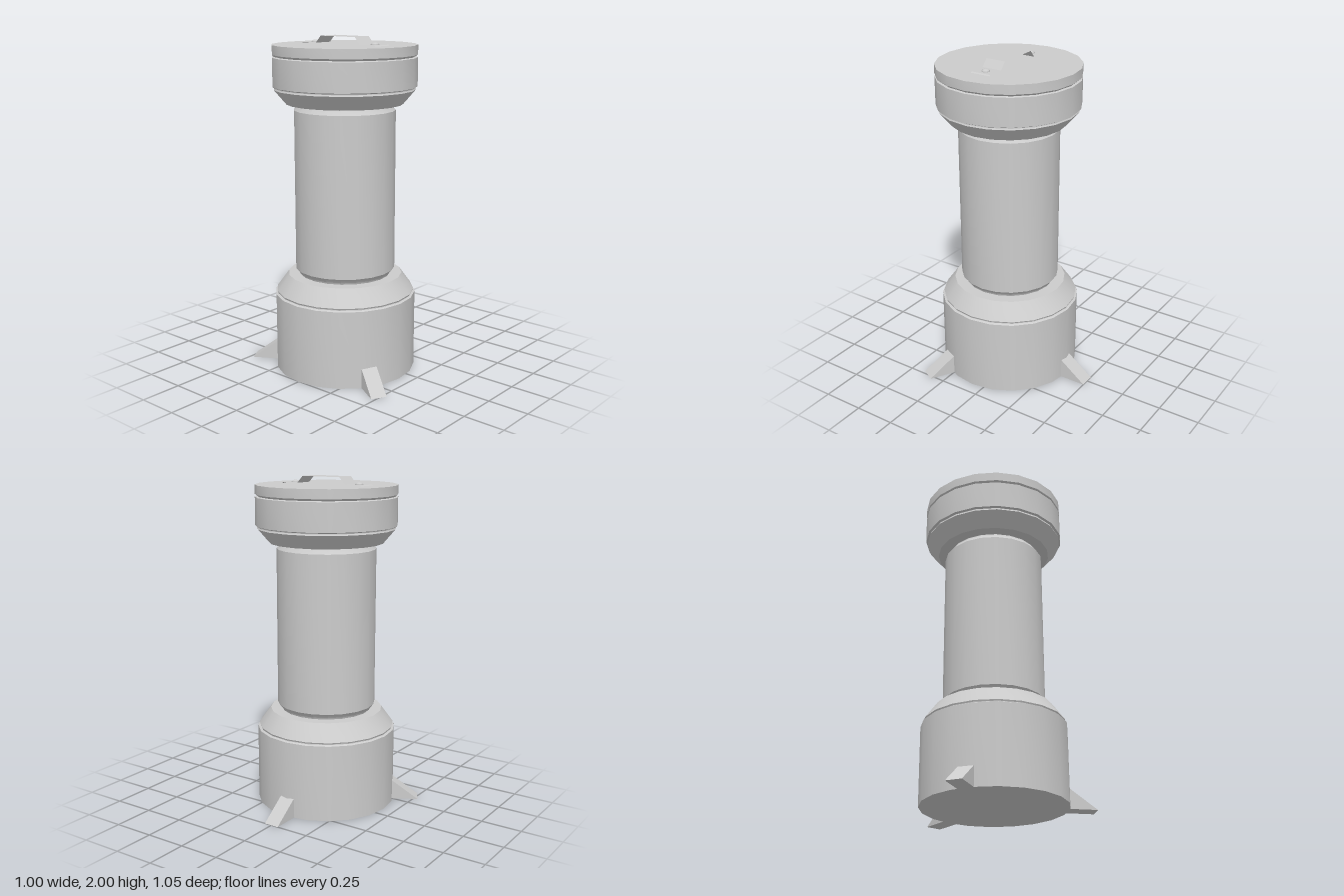
import * as THREE from 'three';
import { toCreasedNormals } from 'three/addons/utils/BufferGeometryUtils.js';

const AXIS_X = -0.08; // the round body sits off centre, balancing the three feet
const SIDES = 20;

export function createModel() {
  const model = new THREE.Group();
  const body = new THREE.Group();
  body.name = 'canister';
  body.position.x = AXIS_X;
  model.add(body);

  const grey = new THREE.MeshStandardMaterial({ color: 0xcccccc });
  const sheet = new THREE.MeshStandardMaterial({ color: 0xcccccc, side: THREE.DoubleSide });

  const add = (name, geometry, material = grey) => {
    const mesh = new THREE.Mesh(geometry, material);
    mesh.name = name;
    body.add(mesh);
    return mesh;
  };
  // Turned part from [radius, height] pairs, bottom to top
  const turned = (name, profile) => add(name, toCreasedNormals(
    new THREE.LatheGeometry(profile.map(([r, y]) => new THREE.Vector2(r, y)), SIDES), 0.45));

  // Base drum with a groove and sloping shoulder
  turned('base', [[0, 0], [0.425, 0], [0.425, 0.468], [0.412, 0.474], [0.412, 0.478],
    [0.416, 0.486], [0.344, 0.585], [0, 0.585]]);

  // Central tube with chamfered ends
  turned('column', [[0.272, 0.58], [0.277, 0.595], [0.3, 0.622], [0.3, 1.576],
    [0.277, 1.603], [0.272, 1.618]]);

  // Head: sloping underside, groove, and band
  turned('head', [[0, 1.612], [0.344, 1.612], [0.416, 1.696], [0.412, 1.704], [0.412, 1.708],
    [0.425, 1.714], [0.425, 1.882], [0.412, 1.887], [0, 1.887]]);

  // Lid disc
  turned('lid', [[0, 1.886], [0.412, 1.886], [0.425, 1.898], [0.425, 1.953], [0, 1.953]]);

  // Bent strap handle: sheet cross-section [z, y] swept across x
  const strap = [[-0.28, 1.953], [-0.272, 1.958], [-0.168, 1.958], [-0.13, 2],
    [0.13, 2], [0.168, 1.958], [0.272, 1.958], [0.28, 1.953]];
  const strapGeometry = new THREE.PlaneGeometry(0.125, 1, 1, strap.length - 1);
  const pos = strapGeometry.attributes.position;
  for (let i = 0; i < pos.count; i++) {
    const [z, y] = strap[Math.floor(i / 2)];
    pos.setXYZ(i, pos.getX(i), y, z);
  }
  add('handle', toCreasedNormals(strapGeometry, 0.3), sheet);

  // Domed rivets at both ends of the handle
  for (const z of [-0.226, 0.226]) {
    const rivet = add('rivet', new THREE.SphereGeometry(0.025, 8, 3, 0, Math.PI * 2, 0, Math.PI / 2));
    rivet.scale.y = 0.55;
    rivet.position.set(0, 1.958, z);
  }

  // Three wedge feet, starting just inside the drum
  const wedge = new THREE.Shape([[0.4, 0], [0.58, 0], [0.425, 0.115], [0.4, 0.1335]]
    .map(([x, y]) => new THREE.Vector2(x, y)));
  const footGeometry = new THREE.ExtrudeGeometry(wedge, { depth: 0.094, bevelEnabled: false });
  footGeometry.translate(0, 0, -0.047);
  for (let i = 0; i < 3; i++) {
    add('foot', footGeometry).rotation.y = (i * Math.PI * 2) / 3;
  }
  return model;
}
